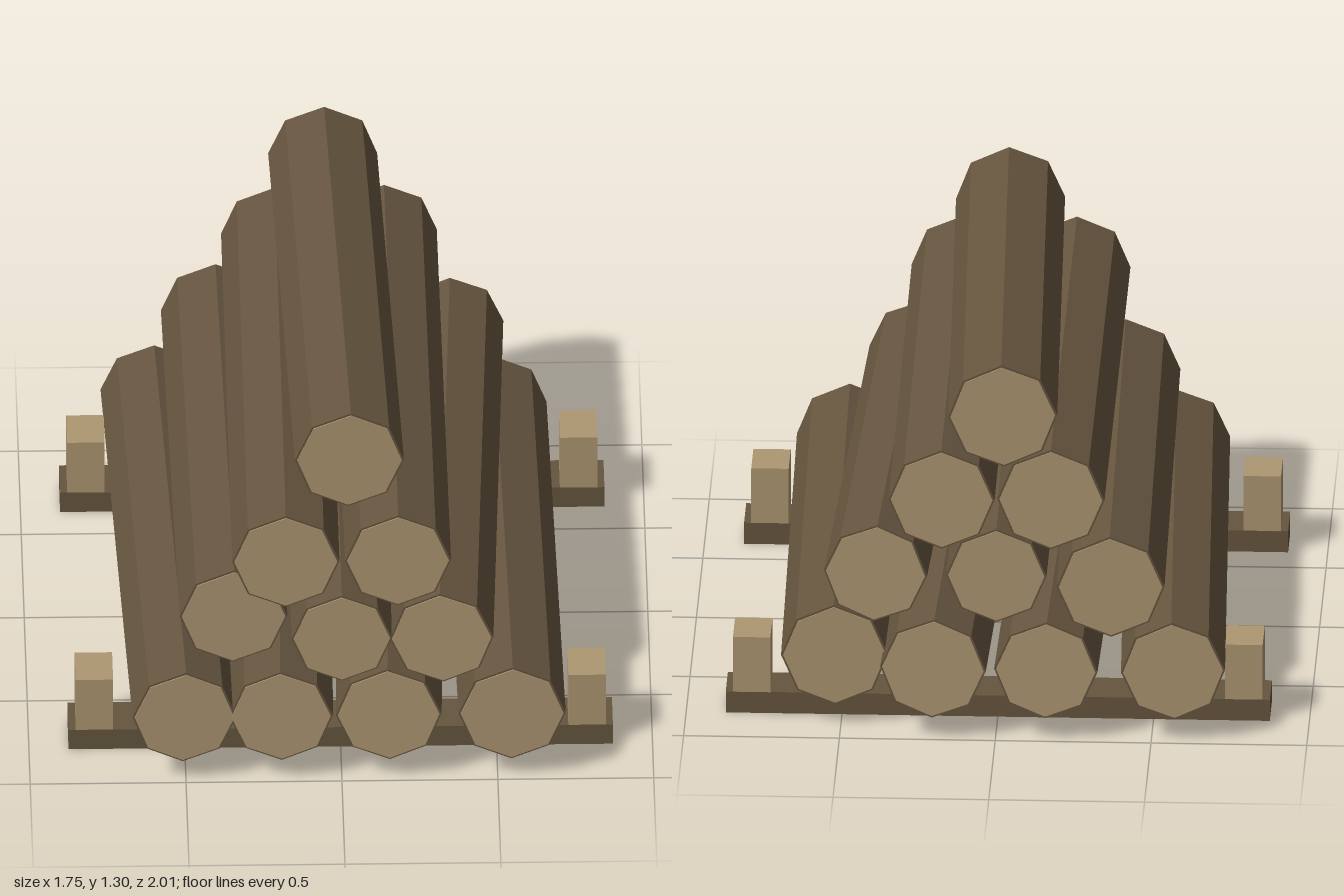
import * as THREE from 'three';

const bark = new THREE.MeshStandardMaterial({ color: 0x66553f });
bark.name = 'bark brown';
const cutWood = new THREE.MeshStandardMaterial({ color: 0xae9772 });
cutWood.name = 'cut wood tan';

// Eight-sided prism along y with hard facets
function prism(radius, length) {
  const g = new THREE.CylinderGeometry(radius, radius, length, 8).toNonIndexed();
  g.computeVertexNormals();
  return g;
}

function addMesh(parent, name, geometry, material, x = 0, y = 0, z = 0) {
  const mesh = new THREE.Mesh(geometry, material);
  mesh.name = name;
  mesh.position.set(x, y, z);
  parent.add(mesh);
  return mesh;
}

// Log running from its front end to its back end, with pale sawn faces
function makeLog(y, [frontX, frontZ, backX, backZ, radius]) {
  const front = new THREE.Vector3(frontX, y, frontZ);
  const back = new THREE.Vector3(backX, y, backZ);
  const length = front.distanceTo(back);
  const log = new THREE.Group();
  log.name = 'log';
  addMesh(log, 'logBark', prism(radius, length), bark);
  for (const side of [1, -1]) {
    addMesh(log, 'sawnEnd', prism(radius * 0.96, 0.008), cutWood, 0, side * length / 2, 0);
  }
  log.position.copy(front).add(back).multiplyScalar(0.5);
  log.quaternion.setFromUnitVectors(new THREE.Vector3(0, 1, 0), front.clone().sub(back).normalize());
  return log;
}

export function createModel() {
  const model = new THREE.Group();
  model.name = 'logPile';

  // Rows from the ground up: front x, front z, back x, back z, radius
  const rows = [
    { y: 0.242, logs: [
      [-0.505, 0.99, -0.57, -0.98, 0.167],
      [-0.195, 0.99, -0.162, -0.99, 0.166],
      [0.15, 0.985, 0.2, -0.99, 0.17],
      [0.546, 0.985, 0.52, -0.885, 0.172],
    ] },
    { y: 0.535, logs: [
      [-0.345, 0.85, -0.37, -0.99, 0.173],
      [0, 0.99, 0, -0.91, 0.161],
      [0.32, 0.993, 0.388, -0.905, 0.166],
    ] },
    { y: 0.83, logs: [
      [-0.18, 0.993, -0.178, -0.98, 0.172],
      [0.18, 0.993, 0.172, -0.994, 0.17],
    ] },
    { y: 1.123, logs: [[0.027, 0.85, -0.024, -0.994, 0.175]] },
  ];
  rows.forEach(({ y, logs }, i) => {
    const row = new THREE.Group();
    row.name = `logRow${i + 1}`;
    logs.forEach((spec) => row.add(makeLog(y, spec)));
    model.add(row);
  });

  // Cross beams with a stop post at each end
  for (const z of [0.71, -0.715]) {
    addMesh(model, 'crossBeam', new THREE.BoxGeometry(1.746, 0.073, 0.165), bark, 0, 0.0365, z);
    for (const side of [1, -1]) {
      addMesh(model, 'stopPost', new THREE.BoxGeometry(0.12, 0.19, 0.165), cutWood, side * 0.79, 0.167, z);
    }
  }
  return model;
}
